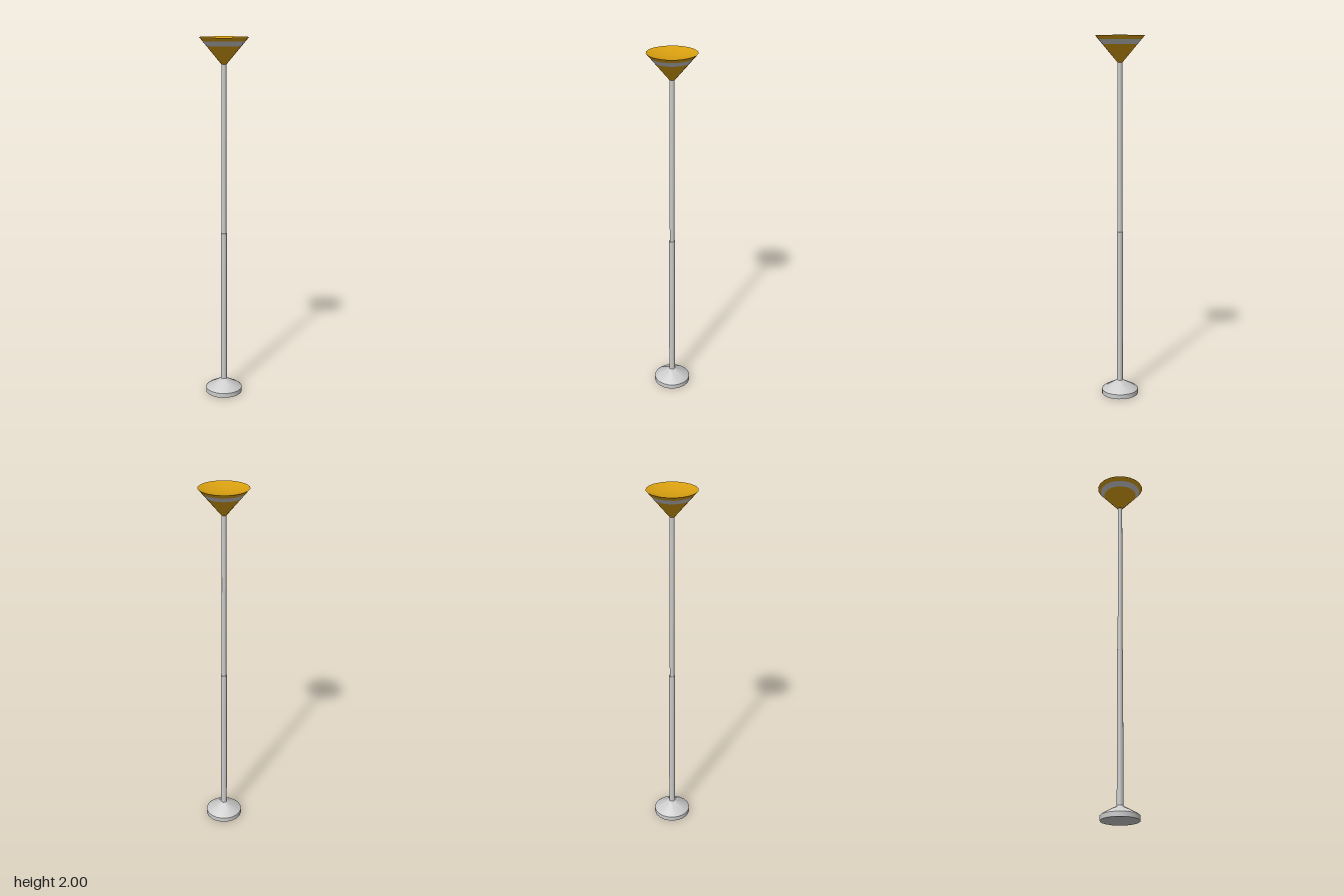
import * as THREE from 'three';
import { toCreasedNormals } from 'three/addons/utils/BufferGeometryUtils.js';

const SIDES = 20;

export function createModel() {
  const model = new THREE.Group();
  const grey = new THREE.MeshStandardMaterial({ color: 0xcccccc, side: THREE.DoubleSide });
  const gold = new THREE.MeshStandardMaterial({ color: 0xd9a010, side: THREE.DoubleSide });

  // Turns a profile of [radius, height] points, listed bottom to top, around the y axis
  function turn(name, profile, material) {
    const points = profile.map(([r, y]) => new THREE.Vector2(r, y));
    const geometry = toCreasedNormals(new THREE.LatheGeometry(points, SIDES), 0.6);
    const mesh = new THREE.Mesh(geometry, material);
    mesh.name = name;
    model.add(mesh);
  }

  // Weighted foot: flat underside, short rim, sloping top
  turn('base', [[0, 0], [0.103, 0], [0.103, 0.026], [0.094, 0.034], [0.03, 0.069], [0.017, 0.078]], grey);

  // Two-stage pole with a small step at mid height
  turn('lowerPole', [[0.017, 0.07], [0.017, 0.94], [0.013, 0.94]], grey);
  turn('upperPole', [[0.013, 0.93], [0.013, 1.87]], grey);

  // Conical shade with a grey band below the rim
  const radiusAt = (y) => 0.014 + (0.132 - 0.014) * (y - 1.86) / 0.14;
  const cone = (...heights) => heights.map((y) => [radiusAt(y), y]);
  turn('shadeCone', [[0, 1.86], ...cone(1.86, 1.955)], gold);
  turn('shadeBand', cone(1.955, 1.98), grey);
  turn('shadeRim', cone(1.98, 2), gold);

  // Shallow dish closing the top of the shade
  const dish = [];
  for (let i = 8; i >= 0; i--) {
    const t = i / 8;
    dish.push([0.132 * t, 2 - 0.02 * (1 - t * t)]);
  }
  turn('shadeDish', dish, gold);

  return model;
}
